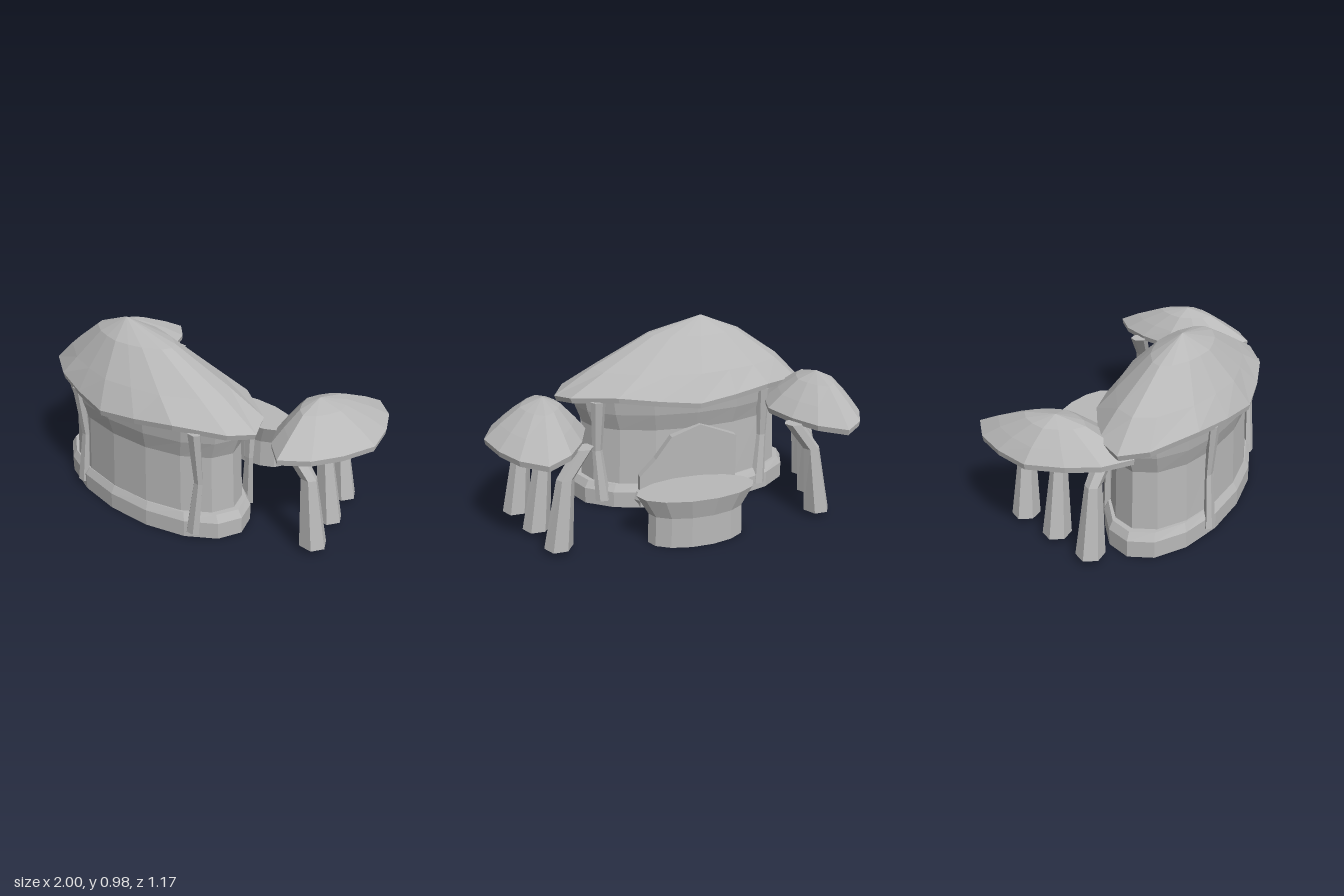
import * as THREE from 'three';

const stone = new THREE.MeshStandardMaterial({ color: 0xb8b8b8, flatShading: true, side: THREE.DoubleSide });
stone.name = 'plain grey';

// Unit outlines in the ground plane
const circle = (n) => Array.from({ length: n }, (_, k) => {
  const a = (k / n) * Math.PI * 2;
  return [Math.cos(a), Math.sin(a)];
});
function mirrored(quarter) {
  const n = quarter.length - 1, out = [];
  for (let k = 0; k < n * 4; k++) {
    const q = Math.floor(k / n), j = k % n;
    const [x, z] = quarter[q % 2 ? n - j : j];
    out.push([q === 1 || q === 2 ? -x : x, q > 1 ? -z : z]);
  }
  return out;
}

// Skin over rings [y, centreX, centreZ, radiusX, radiusZ, wave], listed bottom to top
function loft(name, outline, rings) {
  const n = outline.length, pos = [];
  const point = (i, k) => {
    const [y, cx, cz, rx, rz, wave = 0] = rings[i];
    const [u, v] = outline[k % n];
    return new THREE.Vector3(cx + u * rx, y - wave * Math.cos((k / n) * Math.PI * 8), cz + v * rz);
  };
  const tri = (a, b, c) => {
    if (a.distanceTo(b) < 1e-6 || b.distanceTo(c) < 1e-6 || c.distanceTo(a) < 1e-6) return;
    for (const p of [a, b, c]) pos.push(p.x, p.y, p.z);
  };
  for (let i = 0; i < rings.length - 1; i++) {
    for (let k = 0; k < n; k++) {
      const a = point(i, k), b = point(i, k + 1), c = point(i + 1, k), d = point(i + 1, k + 1);
      tri(a, c, b);
      tri(b, c, d);
    }
  }
  const g = new THREE.BufferGeometry();
  g.setAttribute('position', new THREE.Float32BufferAttribute(pos, 3));
  g.computeVertexNormals();
  const mesh = new THREE.Mesh(g, stone);
  mesh.name = name;
  return mesh;
}

export function createModel() {
  const model = new THREE.Group();
  model.name = 'hut';
  const round = circle(16), hex = circle(6);
  const cx = -0.125, cz = 0.22;

  // Hut base and waisted wall
  model.add(loft('base', round, [
    [0, cx, cz, 0.64, 0.32], [0.09, cx, cz, 0.64, 0.32],
    [0.13, cx, cz, 0.615, 0.297], [0.13, cx, cz, 0.57, 0.28],
  ]));
  model.add(loft('wall', round, [
    [0.12, cx, cz, 0.585, 0.295], [0.44, cx, cz, 0.57, 0.282],
    [0.535, cx, cz, 0.605, 0.31], [0.62, cx, cz, 0.62, 0.32],
  ]));

  // Main roof with wavy eave and off-centre peak
  const roofOutline = mirrored([[1, 0], [0.91, 0.36], [0.59, 0.74], [0.3, 0.9], [0, 1]]);
  model.add(loft('roof', roofOutline, [
    [0.64, cx, cz, 0, 0], [0.593, cx, cz, 0.705, 0.355, 0.02], [0.622, cx, cz, 0.715, 0.36, 0.02],
    [0.735, -0.165, 0.23, 0.545, 0.275], [0.895, -0.21, 0.255, 0.27, 0.135], [0.98, -0.26, 0.27, 0, 0],
  ]));

  // Bent posts around the wall
  for (const [x, z, bend] of [[-0.4, 0.5, 1], [0.38, 0.425, 1], [0.39, 0.025, 1], [-0.53, -0.015, -1]]) {
    const zb = z > 0.2 ? -0.02 : 0.02;
    model.add(loft('post', hex, [
      [0.04, x - 0.01 * bend, z, 0, 0], [0.04, x - 0.01 * bend, z, 0.042, 0.026],
      [0.33, x + 0.01 * bend, z + zb, 0.028, 0.018],
      [0.61, x, z, 0.04, 0.028], [0.61, x, z, 0, 0],
    ]));
  }

  // Door slab at the back
  const door = new THREE.Shape([
    [-0.35, 0.02], [0.2, 0.02], [0.2, 0.2], [0.11, 0.29], [0.02, 0.41], [-0.14, 0.465], [-0.35, 0.38],
  ].map(([x, y]) => new THREE.Vector2(x, y)));
  const doorMesh = new THREE.Mesh(
    new THREE.ExtrudeGeometry(door, { depth: 0.045, bevelEnabled: false }).translate(0, 0, -0.09), stone);
  doorMesh.name = 'door';
  model.add(doorMesh);

  // Small lantern beside the door
  model.add(loft('lantern', hex, [
    [0.03, 0.185, -0.062, 0, 0], [0.03, 0.185, -0.062, 0.018, 0.012], [0.06, 0.185, -0.062, 0.042, 0.028],
    [0.105, 0.185, -0.062, 0.03, 0.022], [0.13, 0.185, -0.062, 0, 0],
  ]));

  // Flared tub behind the hut
  model.add(loft('tub', circle(14), [
    [0, 0, -0.432, 0.255, 0.12], [0.16, 0, -0.432, 0.25, 0.118],
    [0.265, 0, -0.432, 0.31, 0.146], [0.265, 0, -0.432, 0, 0],
  ]));

  // Side canopies, each on three bent legs
  const canopyOutline = mirrored([[1, 0], [0.79, 0.42], [0.48, 0.76], [0, 1]]);
  for (const side of [1, -1]) {
    const canopy = new THREE.Group();
    canopy.name = side > 0 ? 'leftCanopy' : 'rightCanopy';
    const c = 0.75 * side;
    canopy.add(loft('canopyRoof', canopyOutline, [
      [0.535, c, -0.165, 0, 0], [0.518, c, -0.165, 0.245, 0.42], [0.547, c, -0.165, 0.25, 0.425],
      [0.61, c - 0.015, -0.153, 0.185, 0.312], [0.68, c - 0.035, -0.13, 0.1, 0.165], [0.717, c - 0.05, -0.115, 0, 0],
    ]));
    for (let i = 0; i < 3; i++) {
      const x = 0.85 - 0.075 * i, z = 0.068 - 0.232 * i;
      canopy.add(loft('canopyLeg', hex, [
        [0.028, x * side, z, 0, 0], [0.03, x * side, z, 0.072, 0.072],
        [0.39, (x - 0.05) * side, z + 0.002, 0.045, 0.04],
        [0.53, (x - 0.15) * side, z + 0.025, 0.048, 0.05], [0.53, (x - 0.15) * side, z + 0.025, 0, 0],
      ]));
    }
    model.add(canopy);
  }
  return model;
}
